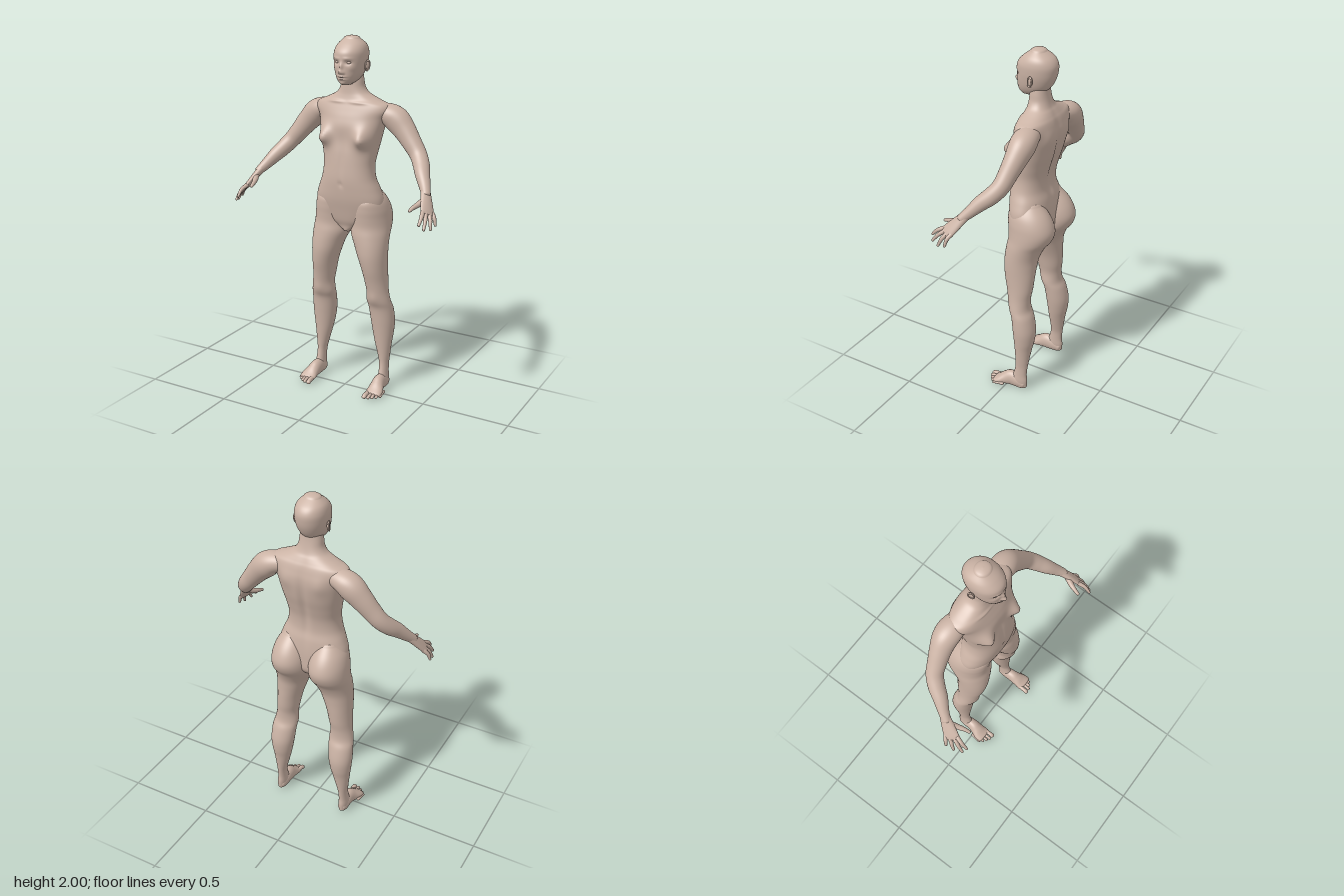
import * as THREE from 'three';

const skin = new THREE.MeshStandardMaterial({ color: 0xcbb3a5 });
skin.name = 'skin';

const clamp = THREE.MathUtils.clamp;
const signedPow = (v, p) => Math.sign(v) * Math.abs(v) ** p;

// Catmull-Rom resampling of rows of numbers
function resample(rows, steps) {
  const out = [];
  const at = i => rows[clamp(i, 0, rows.length - 1)];
  for (let i = 0; i < rows.length - 1; i++) {
    for (let s = 0; s < steps; s++) {
      const t = s / steps;
      out.push(rows[i].map((p1, k) => {
        const p0 = at(i - 1)[k], p2 = at(i + 1)[k], p3 = at(i + 2)[k];
        return p1 + 0.5 * t * (p2 - p0 + t * (2 * p0 - 5 * p1 + 4 * p2 - p3 + t * (3 * (p1 - p2) + p3 - p0)));
      }));
    }
  }
  out.push([...rows[rows.length - 1]]);
  return out;
}

// Skin over rings [x, y, z, halfWidth along ref, other half width], with rounded ends.
// flat keeps rings horizontal; power sets squareness; bumps are [x, y, sx, sy, depth, side].
function loft(rings, { ref = [1, 0, 0], flat = false, seg = 40, steps = 5, power = 2, caps = [0.6, 0.6], bumps = [] } = {}) {
  const rows = resample(rings, steps);
  const centres = rows.map(r => new THREE.Vector3(r[0], r[1], r[2]));
  const last = rows.length - 1;
  const frames = rows.map((r, i) => {
    const T = centres[Math.min(i + 1, last)].clone().sub(centres[Math.max(i - 1, 0)]);
    if (flat) T.set(0, Math.sign(T.y), 0);
    T.normalize();
    const U = new THREE.Vector3(...ref);
    U.addScaledVector(T, -U.dot(T)).normalize();
    return { c: centres[i], T, U, V: T.clone().cross(U), a: r[3], b: r[4] };
  });
  const capRing = (f, angle, dir, amount) => ({
    ...f,
    c: f.c.clone().addScaledVector(f.T, dir * Math.sin(angle) * amount * Math.min(f.a, f.b)),
    a: f.a * Math.cos(angle), b: f.b * Math.cos(angle),
  });
  const all = [...frames];
  for (let k = 1; k <= 5; k++) {
    const angle = k / 5 * 1.565;
    all.unshift(capRing(frames[0], angle, -1, caps[0]));
    all.push(capRing(frames[last], angle, 1, caps[1]));
  }
  const pos = [], index = [];
  all.forEach((f, i) => {
    for (let j = 0; j < seg; j++) {
      const th = j / seg * Math.PI * 2;
      const cu = signedPow(Math.cos(th), 2 / power), sv = signedPow(Math.sin(th), 2 / power);
      const p = f.c.clone().addScaledVector(f.U, f.a * cu).addScaledVector(f.V, f.b * sv);
      const facing = (p.z - f.c.z) / f.b;
      let dz = 0;
      for (const [bx, by, sx, sy, depth, side] of bumps) {
        const w = clamp(2.5 * side * facing, 0, 1);
        const x = bx ? Math.abs(p.x) - bx : p.x;
        dz += side * w * depth * Math.exp(-((x / sx) ** 2) - ((p.y - by) / sy) ** 2);
      }
      pos.push(p.x, p.y, p.z + dz);
      if (i < all.length - 1) {
        const n = (j + 1) % seg, a = i * seg + j, b = i * seg + n;
        index.push(a, b, a + seg, b, b + seg, a + seg);
      }
    }
  });
  const geo = new THREE.BufferGeometry();
  geo.setAttribute('position', new THREE.Float32BufferAttribute(pos, 3));
  geo.setIndex(index);
  geo.computeVertexNormals();
  return geo;
}

function mirrored(geo) {
  const g = geo.clone().scale(-1, 1, 1);
  const ix = g.index.array;
  for (let i = 0; i < ix.length; i += 3) [ix[i], ix[i + 1]] = [ix[i + 1], ix[i]];
  g.computeVertexNormals();
  return g;
}

// Horizontal ring from extents: y, inner x, outer x, front z, back z
const slice = ([y, x0, x1, zf, zb]) => [(x0 + x1) / 2, y, (zf + zb) / 2, (x1 - x0) / 2, (zf - zb) / 2];
const centred = ([y, w, zf, zb]) => slice([y, -w, w, zf, zb]);

export function createModel() {
  const model = new THREE.Group();
  model.name = 'humanFigure';
  const add = (name, geo) => {
    const mesh = new THREE.Mesh(geo, skin);
    mesh.name = name;
    model.add(mesh);
  };
  const pair = (name, geo) => {
    add('left' + name, geo);
    add('right' + name, mirrored(geo));
  };

  // Torso and neck, with breasts, navel, spine groove and shoulder blades
  add('torso', loft([
    [0.94, 0.03, 0.0, -0.12], [0.965, 0.09, 0.005, -0.15], [1.0, 0.16, 0.018, -0.17],
    [1.06, 0.198, 0.032, -0.172], [1.12, 0.2, 0.045, -0.17], [1.18, 0.18, 0.052, -0.163],
    [1.24, 0.156, 0.055, -0.15], [1.31, 0.147, 0.05, -0.153], [1.38, 0.157, 0.042, -0.17],
    [1.45, 0.17, 0.03, -0.19], [1.52, 0.186, 0.028, -0.202], [1.57, 0.2, 0.015, -0.203],
    [1.61, 0.22, 0.0, -0.195], [1.64, 0.21, -0.012, -0.186], [1.66, 0.165, -0.02, -0.176],
    [1.68, 0.12, -0.026, -0.165], [1.7, 0.088, -0.03, -0.153], [1.73, 0.069, -0.033, -0.143],
    [1.77, 0.063, -0.036, -0.135], [1.82, 0.055, -0.04, -0.13],
  ].map(centred), {
    flat: true, seg: 112, steps: 6, power: 2.25, bumps: [
      [0.115, 1.465, 0.046, 0.05, 0.052, 1], [0.125, 1.448, 0.028, 0.026, 0.01, 1],
      [0.13, 1.458, 0.008, 0.008, 0.006, 1], [0, 1.21, 0.01, 0.014, -0.007, 1],
      [0, 1.35, 0.015, 0.12, -0.005, 1], [0.07, 1.652, 0.05, 0.008, 0.006, 1],
      [0, 1.4, 0.022, 0.2, -0.014, -1], [0.1, 1.55, 0.04, 0.05, 0.008, -1],
    ],
  }));

  // Head, with the face shaped by soft bumps
  add('head', loft([
    [1.752, 0.03, 0.022, -0.06], [1.77, 0.052, 0.034, -0.11], [1.8, 0.069, 0.04, -0.145],
    [1.84, 0.08, 0.041, -0.168], [1.88, 0.086, 0.041, -0.179], [1.92, 0.086, 0.036, -0.18],
    [1.955, 0.074, 0.006, -0.16], [1.985, 0.045, -0.034, -0.116],
  ].map(centred), {
    flat: true, seg: 128, steps: 9, caps: [0.25, 0.38], power: 2.1, bumps: [
      [0, 1.819, 0.012, 0.011, 0.02, 1], [0, 1.845, 0.009, 0.02, 0.013, 1],
      [0.012, 1.814, 0.007, 0.007, 0.007, 1], [0.034, 1.867, 0.017, 0.011, -0.012, 1],
      [0.032, 1.888, 0.024, 0.008, 0.004, 1], [0.052, 1.838, 0.016, 0.016, 0.004, 1],
      [0, 1.794, 0.022, 0.006, 0.009, 1], [0, 1.78, 0.018, 0.006, 0.008, 1],
      [0, 1.787, 0.024, 0.0025, -0.006, 1], [0, 1.757, 0.018, 0.01, 0.007, 1],
    ],
  }));
  pair('Eye', new THREE.SphereGeometry(0.012, 20, 14).scale(1.2, 0.7, 1).translate(0.033, 1.868, 0.017));

  // Ears: a flat shell with a raised rim
  const place = g => g.rotateX(-0.2).rotateY(-0.35).translate(0.09, 1.846, -0.078);
  pair('Ear', place(new THREE.SphereGeometry(1, 20, 14).scale(0.008, 0.027, 0.016)));
  pair('EarRim', place(new THREE.TorusGeometry(0.021, 0.0045, 8, 28).rotateY(Math.PI / 2).scale(1, 1.25, 0.72).translate(0.004, 0, 0)));

  // Legs, from the buttock down to the heel
  pair('Leg', loft([
    [1.17, 0.05, 0.165, -0.02, -0.15], [1.12, 0.024, 0.2, 0.025, -0.196], [1.07, 0.01, 0.217, 0.03, -0.225],
    [1.02, 0.005, 0.224, 0.026, -0.236], [0.97, 0.004, 0.228, 0.024, -0.22], [0.92, 0.012, 0.23, 0.032, -0.183],
    [0.86, 0.04, 0.23, 0.038, -0.156], [0.8, 0.063, 0.23, 0.039, -0.147], [0.73, 0.087, 0.23, 0.03, -0.142],
    [0.66, 0.102, 0.232, 0.014, -0.136], [0.6, 0.112, 0.237, 0.002, -0.127], [0.54, 0.108, 0.248, -0.01, -0.129],
    [0.49, 0.112, 0.257, -0.028, -0.15], [0.41, 0.12, 0.26, -0.038, -0.167], [0.34, 0.132, 0.254, -0.045, -0.163],
    [0.28, 0.146, 0.246, -0.05, -0.15], [0.2, 0.168, 0.237, -0.056, -0.137], [0.15, 0.18, 0.232, -0.056, -0.13],
    [0.1, 0.182, 0.233, -0.045, -0.126], [0.06, 0.181, 0.236, -0.03, -0.13], [0.02, 0.184, 0.234, -0.035, -0.128],
  ].map(slice), { flat: true, seg: 64, caps: [0.4, 0.6], bumps: [[0.178, 0.56, 0.03, 0.035, 0.006, 1]] }));

  // Feet and toes
  pair('Foot', loft([
    [0.208, 0.034, -0.11, 0.024, 0.028], [0.208, 0.042, -0.075, 0.031, 0.041], [0.208, 0.049, -0.03, 0.034, 0.048],
    [0.212, 0.04, 0.005, 0.039, 0.039], [0.217, 0.027, 0.04, 0.047, 0.026], [0.217, 0.019, 0.066, 0.047, 0.017],
  ]));
  [[0.184, 0.121, 0.014], [0.209, 0.117, 0.01], [0.228, 0.105, 0.0095], [0.246, 0.09, 0.009], [0.262, 0.072, 0.0085]]
    .forEach(([x, z, r], i) => pair('Toe' + (i + 1), loft([
      [x * 0.9 + 0.021, 0.02, z - 0.065, r, r], [x, 0.017, z - 0.025, r * 0.9, r * 0.9], [x, 0.012, z - r, r, r * 0.85],
    ], { seg: 16, caps: [1, 1] })));

  // Arms, shoulder to wrist
  pair('Arm', loft([
    [0.12, 1.602, -0.115, 0.05, 0.042], [0.2, 1.588, -0.12, 0.068, 0.06], [0.25, 1.56, -0.123, 0.068, 0.07],
    [0.3, 1.51, -0.117, 0.058, 0.062], [0.35, 1.45, -0.105, 0.05, 0.053], [0.395, 1.395, -0.09, 0.046, 0.047],
    [0.43, 1.35, -0.055, 0.045, 0.044], [0.46, 1.31, -0.01, 0.04, 0.039], [0.495, 1.262, 0.035, 0.03, 0.03],
    [0.52, 1.228, 0.07, 0.025, 0.023],
  ], { ref: [0, 0, 1], seg: 48 }));

  // Hands: palm, four fingers and thumb
  const across = [0.39, -0.17, -0.9];
  pair('Palm', loft([
    [0.508, 1.243, 0.052, 0.027, 0.022], [0.535, 1.195, 0.095, 0.037, 0.018],
    [0.554, 1.16, 0.126, 0.042, 0.015], [0.562, 1.146, 0.138, 0.04, 0.012],
  ], { ref: across, seg: 32 }));
  const fingers = { IndexFinger: [-1, 0.555, 1.112, 0.226], MiddleFinger: [-0.33, 0.577, 1.088, 0.213],
    RingFinger: [0.33, 0.594, 1.08, 0.168], LittleFinger: [1, 0.6, 1.092, 0.123] };
  for (const [name, [s, ...tip]] of Object.entries(fingers)) {
    const base = [0.556, 1.155, 0.13].map((v, k) => v + across[k] * s * 0.032);
    const joint = base.map((v, k) => (v + tip[k]) / 2 + [0.005, 0.006, 0.003][k]);
    pair(name, loft([[...base, 0.012, 0.012], [...joint, 0.0105, 0.0105], [...tip, 0.0075, 0.007]],
      { ref: across, seg: 16, caps: [1, 1] }));
  }
  pair('Thumb', loft([
    [0.522, 1.212, 0.088, 0.016, 0.016], [0.505, 1.19, 0.13, 0.015, 0.015],
    [0.493, 1.18, 0.165, 0.0115, 0.0115], [0.487, 1.17, 0.193, 0.009, 0.008],
  ], { ref: [1, 0, 0], seg: 18, caps: [1, 1] }));

  return model;
}
